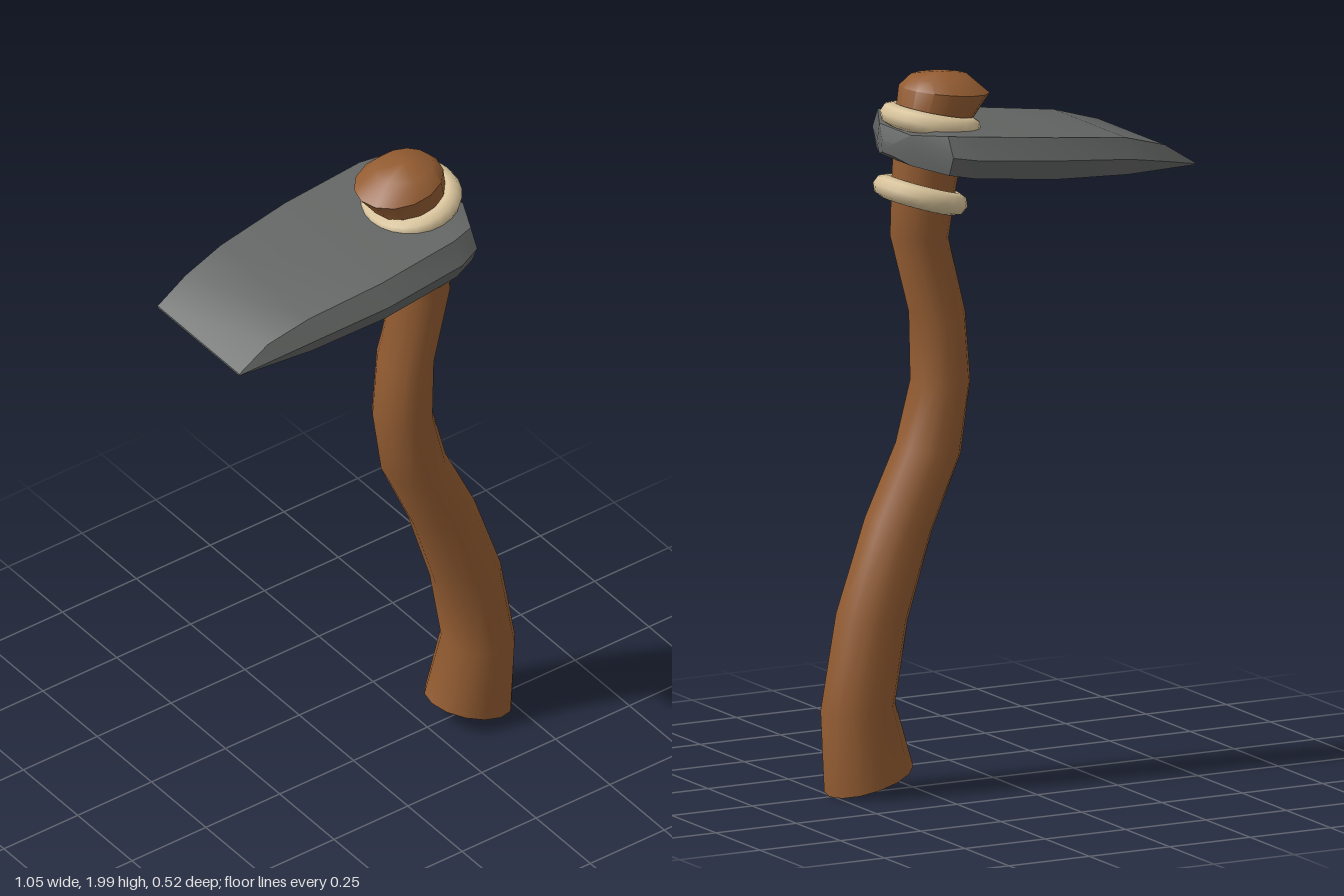
import * as THREE from 'three';
import { toCreasedNormals } from 'three/addons/utils/BufferGeometryUtils.js';

// Skin a list of closed cross-sections and close both ends with fans.
function loft(rings, startCentre, endCentre, crease) {
  const n = rings[0].length;
  const points = [...rings.flat(), startCentre, endCentre];
  const start = rings.length * n, end = start + 1, last = (rings.length - 1) * n;
  const index = [];
  for (let j = 0; j < n; j++) {
    const k = (j + 1) % n;
    for (let i = 0; i < rings.length - 1; i++) {
      const a = i * n + j, b = i * n + k;
      index.push(a, a + n, b, b, a + n, b + n);
    }
    index.push(start, j, k, end, last + k, last + j);
  }
  const geometry = new THREE.BufferGeometry().setFromPoints(points);
  geometry.setIndex(index);
  return toCreasedNormals(geometry, crease);
}

// Each handle ring: left x, left y, right x, right y, half depth.
const HANDLE = [
  [0.265, 0.085, 0.51, 0.01, 0.118],
  [0.32, 0.265, 0.522, 0.24, 0.106],
  [0.28, 0.49, 0.475, 0.51, 0.101],
  [0.205, 0.73, 0.385, 0.77, 0.099],
  [0.115, 0.935, 0.29, 0.97, 0.095],
  [0.085, 1.14, 0.245, 1.14, 0.091],
  [0.1, 1.33, 0.25, 1.33, 0.087],
  [0.15, 1.54, 0.31, 1.55, 0.08],
  [0.125, 1.69, 0.305, 1.7, 0.086],
  [0.09, 1.85, 0.295, 1.86, 0.095],
  [0.025, 1.935, 0.28, 1.965, 0.114],
  [0.085, 1.988, 0.255, 1.99, 0.075],
];

function handleGeometry() {
  const sides = 14;
  const rings = HANDLE.map(([lx, ly, rx, ry, depth]) =>
    Array.from({ length: sides }, (_, j) => {
      const a = (j / sides) * Math.PI * 2, t = (1 + Math.cos(a)) / 2;
      return new THREE.Vector3(lx + (rx - lx) * t, ly + (ry - ly) * t, depth * Math.sin(a));
    }));
  return loft(rings, new THREE.Vector3(0.375, 0.03, 0), new THREE.Vector3(0.17, 2, 0), 0.75);
}

// Each blade section: x, top y, edge y, bottom y, half width, top share, bottom share.
const BLADE = [
  [-0.525, 1.708, 1.705, 1.702, 0.19, 0.99, 0.99],
  [-0.43, 1.768, 1.725, 1.703, 0.211, 0.9, 0.95],
  [-0.3, 1.805, 1.75, 1.704, 0.236, 0.86, 0.92],
  [-0.07, 1.832, 1.775, 1.718, 0.261, 0.85, 0.9],
  [0.18, 1.86, 1.8, 1.745, 0.256, 0.85, 0.9],
  [0.25, 1.865, 1.81, 1.757, 0.23, 0.87, 0.9],
  [0.305, 1.853, 1.81, 1.768, 0.1, 0.9, 0.9],
  [0.328, 1.82, 1.805, 1.785, 0.035, 0.9, 0.9],
];

function bladeGeometry() {
  const rings = BLADE.map(([x, top, edge, bottom, w, ts, bs]) => [
    [top, w * ts], [top, -w * ts], [edge, -w], [bottom, -w * bs], [bottom, w * bs], [edge, w],
  ].map(([y, z]) => new THREE.Vector3(x, y, z)));
  return loft(rings, new THREE.Vector3(-0.525, 1.705, 0), new THREE.Vector3(0.33, 1.803, 0), 0.55);
}

export function createModel() {
  const wood = new THREE.MeshStandardMaterial({ name: 'wood', color: 0x935c32 });
  const stone = new THREE.MeshStandardMaterial({ name: 'stone', color: 0x626563 });
  const rope = new THREE.MeshStandardMaterial({ name: 'rope', color: 0xd8c39b });

  const model = new THREE.Group();
  model.name = 'handAdze';
  const add = (name, geometry, material) => {
    const mesh = new THREE.Mesh(geometry, material);
    mesh.name = name;
    model.add(mesh);
    return mesh;
  };

  // Curved handle and broad stone blade
  add('handle', handleGeometry(), wood);
  add('blade', bladeGeometry(), stone);

  // Tilted rope bindings above and below the blade
  const bindings = [
    ['upperBinding', 0.195, 1.865, 0.108, 0.112, 0.22],
    ['lowerBinding', 0.227, 1.662, 0.1, 0.104, 0.29],
  ];
  for (const [name, x, y, rx, rz, tilt] of bindings) {
    const ring = new THREE.TorusGeometry(rx, 0.032, 8, 24);
    ring.rotateX(Math.PI / 2);
    ring.scale(1, 1, rz / rx);
    const mesh = add(name, ring, rope);
    mesh.position.set(x, y, 0);
    mesh.rotation.z = tilt;
  }
  return model;
}
